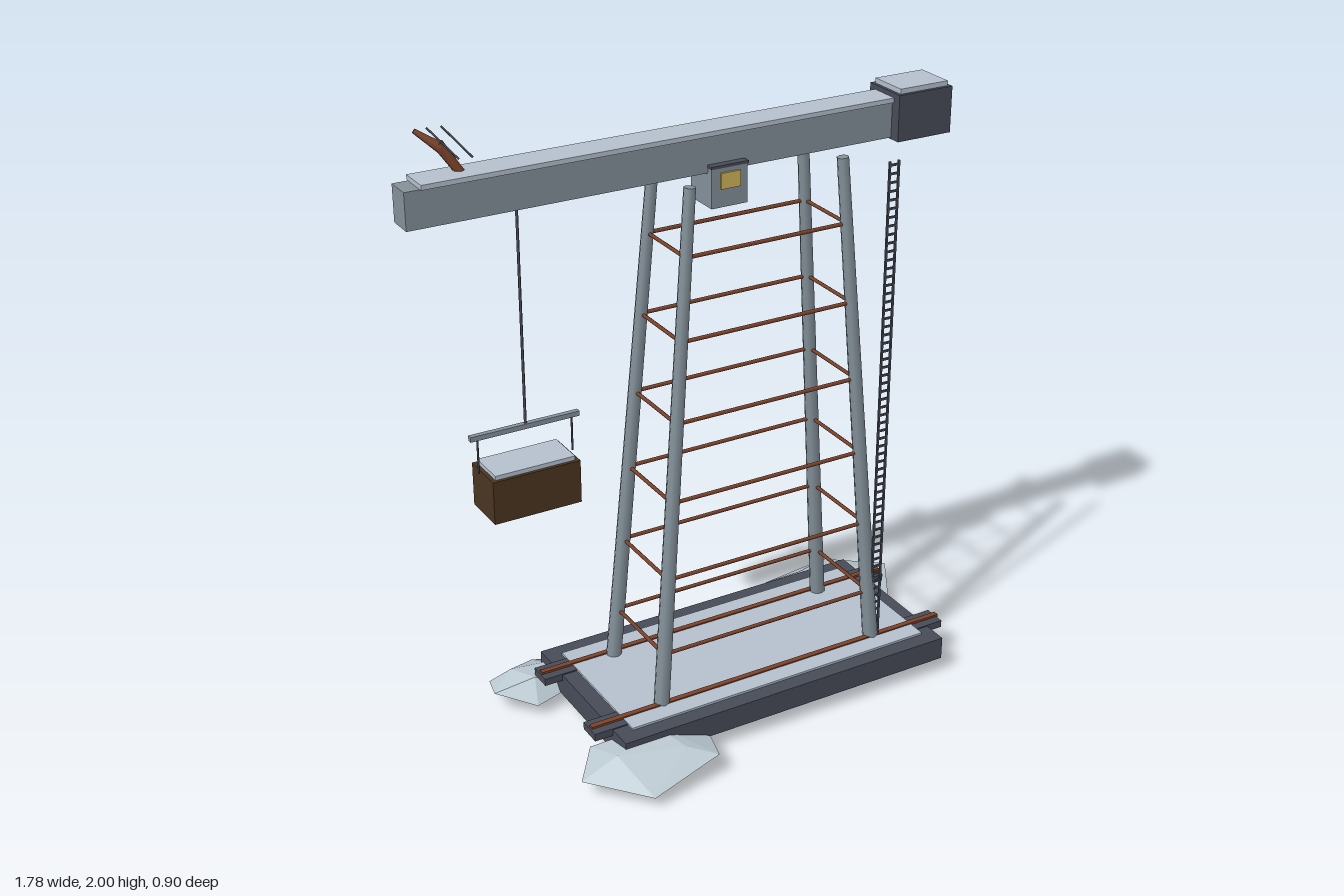
import * as THREE from 'three';
import { ConvexGeometry } from 'three/addons/geometries/ConvexGeometry.js';

const material = (name, color) => {
  const m = new THREE.MeshStandardMaterial({ color });
  m.name = name;
  return m;
};

export function createModel() {
  const model = new THREE.Group();
  model.name = 'towerCrane';

  const steel = material('steel', 0x84919a);
  const dark = material('darkIron', 0x484c58);
  const frost = material('frost', 0xb6c2ce);
  const ice = material('ice', 0xbccad2);
  const rust = material('rust', 0x7c422a);
  const wood = material('crateWood', 0x4a3521);
  const amber = material('amberGlass', 0xd2b65c);

  const add = (name, geometry, mat, parent = model) => {
    const mesh = new THREE.Mesh(geometry, mat);
    mesh.name = name;
    parent.add(mesh);
    return mesh;
  };
  const group = (name) => {
    const g = new THREE.Group();
    g.name = name;
    model.add(g);
    return g;
  };
  // Box given by its lower and upper limits on each axis
  const box = (name, mat, [x0, x1], [y0, y1], [z0, z1], parent) => {
    const mesh = add(name, new THREE.BoxGeometry(x1 - x0, y1 - y0, z1 - z0), mat, parent);
    mesh.position.set((x0 + x1) / 2, (y0 + y1) / 2, (z0 + z1) / 2);
    return mesh;
  };
  // Straight round bar between two points, optionally tapered
  const bar = (name, mat, a, b, r0, r1 = r0, sides = 6, parent = model) => {
    const from = new THREE.Vector3(...a), to = new THREE.Vector3(...b);
    const dir = to.clone().sub(from);
    const mesh = add(name, new THREE.CylinderGeometry(r1, r0, dir.length(), sides), mat, parent);
    mesh.position.copy(from).add(to).multiplyScalar(0.5);
    mesh.quaternion.setFromUnitVectors(new THREE.Vector3(0, 1, 0), dir.normalize());
    return mesh;
  };

  // Platform with frosted deck, and two sleepers carrying rails
  const platform = group('platform');
  box('baseSlab', dark, [-0.415, 0.73], [0.055, 0.13], [-0.295, 0.275], platform);
  box('frostedDeck', frost, [-0.365, 0.685], [0.125, 0.137], [-0.245, 0.225], platform);
  for (const z of [-0.178, 0.157]) {
    box('sleeper', dark, [-0.475, 0.785], [0.11, 0.134], [z - 0.037, z + 0.037], platform);
    box('rail', rust, [-0.47, 0.79], [0.13, 0.141], [z - 0.009, z + 0.009], platform);
  }

  // Four tapering legs that lean inward
  const tower = group('tower');
  const cx = 0.157, cz = -0.008, yLow = 0.13, yHigh = 1.747;
  const corner = (sx, sz, y) => {
    const t = (y - yLow) / (yHigh - yLow);
    return [cx + sx * (0.381 - 0.131 * t), y, cz + sz * (0.155 - 0.05 * t)];
  };
  for (const sx of [-1, 1]) for (const sz of [-1, 1]) {
    bar('leg', steel, corner(sx, sz, yLow), corner(sx, sz, yHigh), 0.025, 0.018, 8, tower);
  }

  // Six levels of rusty braces around the legs
  for (let i = 0; i < 6; i++) {
    const y = 0.3 + i * 0.249;
    for (const s of [-1, 1]) {
      bar('longBrace', rust, corner(-1, s, y), corner(1, s, y), 0.006, 0.006, 6, tower);
      bar('crossBrace', rust, corner(s, -1, y), corner(s, 1, y), 0.006, 0.006, 6, tower);
    }
  }

  // Vertical ladder
  const ladder = group('ladder');
  const lz = 0.159;
  for (const x of [0.527, 0.558]) {
    box('ladderRail', dark, [x - 0.003, x + 0.003], [0.135, 1.73], [lz - 0.003, lz + 0.003], ladder);
  }
  for (let y = 0.155; y < 1.73; y += 0.0265) {
    box('rung', dark, [0.527, 0.558], [y - 0.003, y + 0.003], [lz - 0.003, lz + 0.003], ladder);
  }

  // Jib beam, frost cover and counterweight
  const jib = group('jib');
  box('jibBeam', steel, [-0.895, 0.63], [1.75, 1.857], [-0.048, 0.032], jib);
  box('jibFrost', frost, [-0.85, 0.63], [1.857, 1.871], [-0.057, 0.04], jib);
  box('counterweight', dark, [0.617, 0.803], [1.745, 1.885], [-0.082, 0.067], jib);
  box('counterweightFrost', frost, [0.627, 0.793], [1.885, 1.9], [-0.071, 0.057], jib);

  // Cabin under the jib
  const cabin = group('cabin');
  box('cabinBody', steel, [0.002, 0.118], [1.65, 1.766], [-0.063, 0.053], cabin);
  box('cabinRoof', dark, [0, 0.12], [1.766, 1.774], [-0.066, 0.056], cabin);
  box('cabinWindow', amber, [0.03, 0.092], [1.705, 1.752], [0.053, 0.06], cabin);

  // Cable, spreader bar and hanging crate
  const load = group('load');
  const hz = 0.025;
  bar('cable', dark, [-0.565, 1.752, -0.006], [-0.58, 1.115, hz], 0.004, 0.004, 6, load);
  box('spreaderBar', steel, [-0.75, -0.415], [1.104, 1.119], [hz - 0.008, hz + 0.008], load);
  for (const x of [-0.727, -0.437]) {
    bar('hanger', dark, [x, 1.11, hz], [x, 0.998, hz], 0.003, 0.003, 6, load);
  }
  box('crate', wood, [-0.717, -0.447], [0.866, 0.998], [-0.045, 0.095], load);
  box('crateFrost', frost, [-0.705, -0.459], [0.998, 1.011], [-0.035, 0.085], load);

  // Bent rusty horn and two loose rods at the jib tip
  const wreck = group('jibTipScrap');
  bar('hornBase', rust, [-0.715, 1.865, -0.017], [-0.765, 1.945, -0.04], 0.013, 0.016, 6, wreck);
  bar('hornTip', rust, [-0.76, 1.935, -0.037], [-0.82, 1.982, -0.063], 0.016, 0.007, 6, wreck);
  bar('looseRod', dark, [-0.8, 1.998, -0.023], [-0.733, 1.915, 0.02], 0.003, 0.003, 6, wreck);
  bar('looseRod', dark, [-0.735, 1.975, -0.083], [-0.667, 1.89, -0.043], 0.003, 0.003, 6, wreck);

  // Faceted ice blocks: wide outline (x, z) with a small top and a small bottom
  const iceBlock = (outline, top) => {
    const mx = outline.reduce((s, p) => s + p[0], 0) / outline.length;
    const mz = outline.reduce((s, p) => s + p[1], 0) / outline.length;
    const points = [];
    outline.forEach(([x, z], i) => {
      points.push(new THREE.Vector3(x, 0.06 + 0.018 * (i % 3 - 1), z));
      if (i % 2) points.push(new THREE.Vector3(mx + (x - mx) * 0.5, top - 0.006 * (i % 3), mz + (z - mz) * 0.5));
      else points.push(new THREE.Vector3(mx + (x - mx) * 0.45, 0.004 + 0.007 * (i % 3), mz + (z - mz) * 0.45));
    });
    add('iceBlock', new ConvexGeometry(points), ice);
  };
  iceBlock([[-0.41, 0.445], [-0.57, 0.29], [-0.48, 0.17], [-0.24, 0.14], [-0.13, 0.28], [-0.165, 0.395]], 0.115);
  iceBlock([[-0.405, -0.39], [-0.585, -0.32], [-0.61, -0.225], [-0.5, -0.145], [-0.36, -0.17], [-0.32, -0.295]], 0.11);
  iceBlock([[0.755, -0.455], [0.48, -0.395], [0.49, -0.27], [0.62, -0.14], [0.8, -0.125], [0.89, -0.275]], 0.11);

  return model;
}
